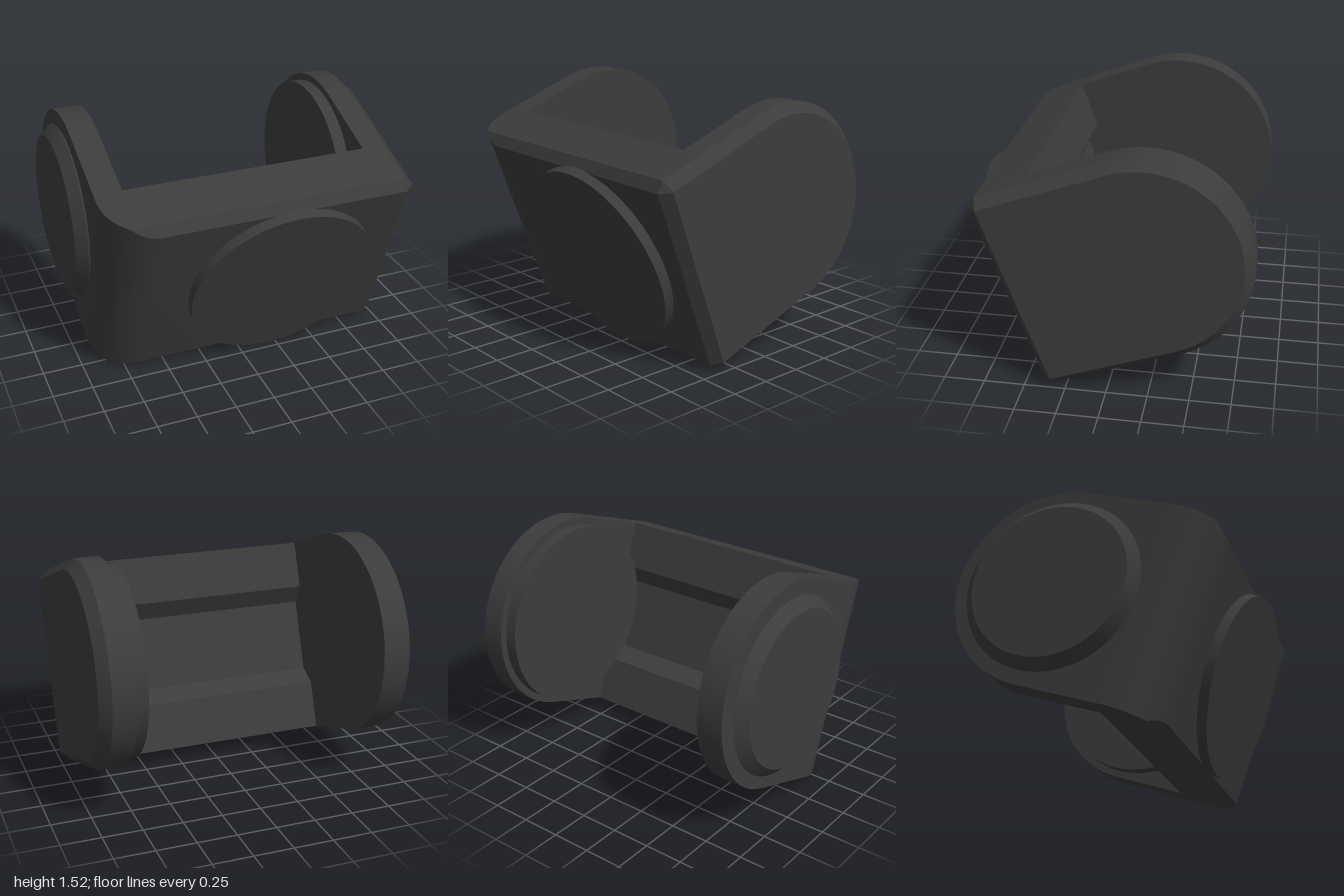
import * as THREE from 'three';
import { toCreasedNormals } from 'three/addons/utils/BufferGeometryUtils.js';

const material = new THREE.MeshStandardMaterial({ color: 0x3c3c3c });

// Joins cross-sections { x, pts: [[z, y], ...] } along x, optionally closing both ends.
function loft(sections, capped) {
  const pos = [];
  const tri = (a, b, c) => pos.push(...a, ...b, ...c);
  const rings = sections.map(({ x, pts }) => pts.map(([z, y]) => [x, y, z]));
  const n = rings[0].length;
  for (let i = 0; i < rings.length - 1; i++) {
    for (let j = 0; j < n; j++) {
      const k = (j + 1) % n;
      const a = rings[i][j], b = rings[i][k], c = rings[i + 1][k], d = rings[i + 1][j];
      tri(a, b, c);
      tri(a, c, d);
    }
  }
  if (capped) {
    const first = rings[0], last = rings[rings.length - 1];
    for (let j = 1; j < n - 1; j++) {
      tri(first[0], first[j + 1], first[j]);
      tri(last[0], last[j], last[j + 1]);
    }
  }
  const g = new THREE.BufferGeometry();
  g.setAttribute('position', new THREE.Float32BufferAttribute(pos, 3));
  return toCreasedNormals(g, 0.4);
}

// Arm outline: straight sides with a half-round back end.
function armOutline(r, front) {
  const pts = [[front, r], [front, -r]];
  for (let i = 0; i <= 40; i++) {
    const t = (Math.PI * i) / 40;
    pts.push([-r * Math.sin(t), -r * Math.cos(t)]);
  }
  return pts;
}

// Plate section: bevelled front edges and a trapezoid channel in the back.
function plateSection(x, front, channel, half = 0.64) {
  const shoulder = Math.min(0.8, front);
  const tip = Math.min(half, 1.44 - front);
  const upper = [[0.5, half], [shoulder, half], [front, tip]];
  const lower = upper.map(([z, y]) => [z, -y]).reverse();
  const back = [
    [0.5, -0.335], [0.5 + channel, -0.235],
    [0.5 + channel, 0.235], [0.5, 0.335],
  ];
  return { x, pts: [...upper, ...lower, ...back] };
}

export function createModel() {
  const model = new THREE.Group();
  model.name = 'bracket';
  const body = new THREE.Group();
  body.name = 'tiltedBody';
  body.position.set(0, 0.876, -0.21);
  body.rotation.x = THREE.MathUtils.degToRad(20);
  model.add(body);

  const add = (name, geometry) => {
    const mesh = new THREE.Mesh(geometry, material);
    mesh.name = name;
    body.add(mesh);
    return mesh;
  };

  // Front plate: rounded right corner, channel between the arms, bevelled left edge
  const radius = 0.3;
  const frontAt = (x) => {
    const s = Math.max(0, (-0.62 - x) / radius);
    return 0.555 + radius * Math.sqrt(Math.max(0, 1 - s * s));
  };
  const xs = [];
  for (let i = 0; i <= 16; i++) xs.push(-0.62 - radius * Math.cos((Math.PI / 2) * (i / 16)));
  const plate = [
    ...xs.filter((x) => x < -0.75).map((x) => plateSection(x, frontAt(x), 0)),
    plateSection(-0.75, frontAt(-0.75), 0),
    plateSection(-0.75, frontAt(-0.75), 0.1),
    ...xs.filter((x) => x > -0.75).map((x) => plateSection(x, frontAt(x), 0.1)),
    plateSection(0.79, 0.855, 0.1),
    plateSection(0.79, 0.855, 0),
    plateSection(0.935, 0.855, 0),
    plateSection(1, 0.8, 0, 0.58),
  ];
  add('frontPlate', loft(plate, false));

  // Side arms
  add('rightArm', loft([
    { x: -0.92, pts: armOutline(0.64, 0.555) },
    { x: -0.75, pts: armOutline(0.64, 0.555) },
  ], true));
  add('leftArm', loft([
    { x: 0.79, pts: armOutline(0.64, 0.8) },
    { x: 0.935, pts: armOutline(0.64, 0.8) },
    { x: 1, pts: armOutline(0.58, 0.8) },
  ], true));

  // Bevelled cap outside the right arm
  const profile = [[0, -0.01], [0.535, -0.01], [0.535, 0.008], [0.555, 0.015], [0.49, 0.08], [0, 0.08]];
  const cap = new THREE.LatheGeometry(profile.map(([r, h]) => new THREE.Vector2(r, h)), 64);
  const outerCap = add('outerCap', toCreasedNormals(cap, 0.4));
  outerCap.rotation.z = Math.PI / 2;
  outerCap.position.x = -0.92;

  // Round pad inside the left arm
  const pad = add('innerPad', new THREE.CylinderGeometry(0.595, 0.595, 0.09, 64));
  pad.rotation.z = Math.PI / 2;
  pad.position.x = 0.755;

  // Round pad on the front plate
  const disc = add('frontDisc', new THREE.CylinderGeometry(0.597, 0.597, 0.075, 64));
  disc.rotation.x = Math.PI / 2;
  disc.position.set(0.2, 0, 0.8825);

  return model;
}
